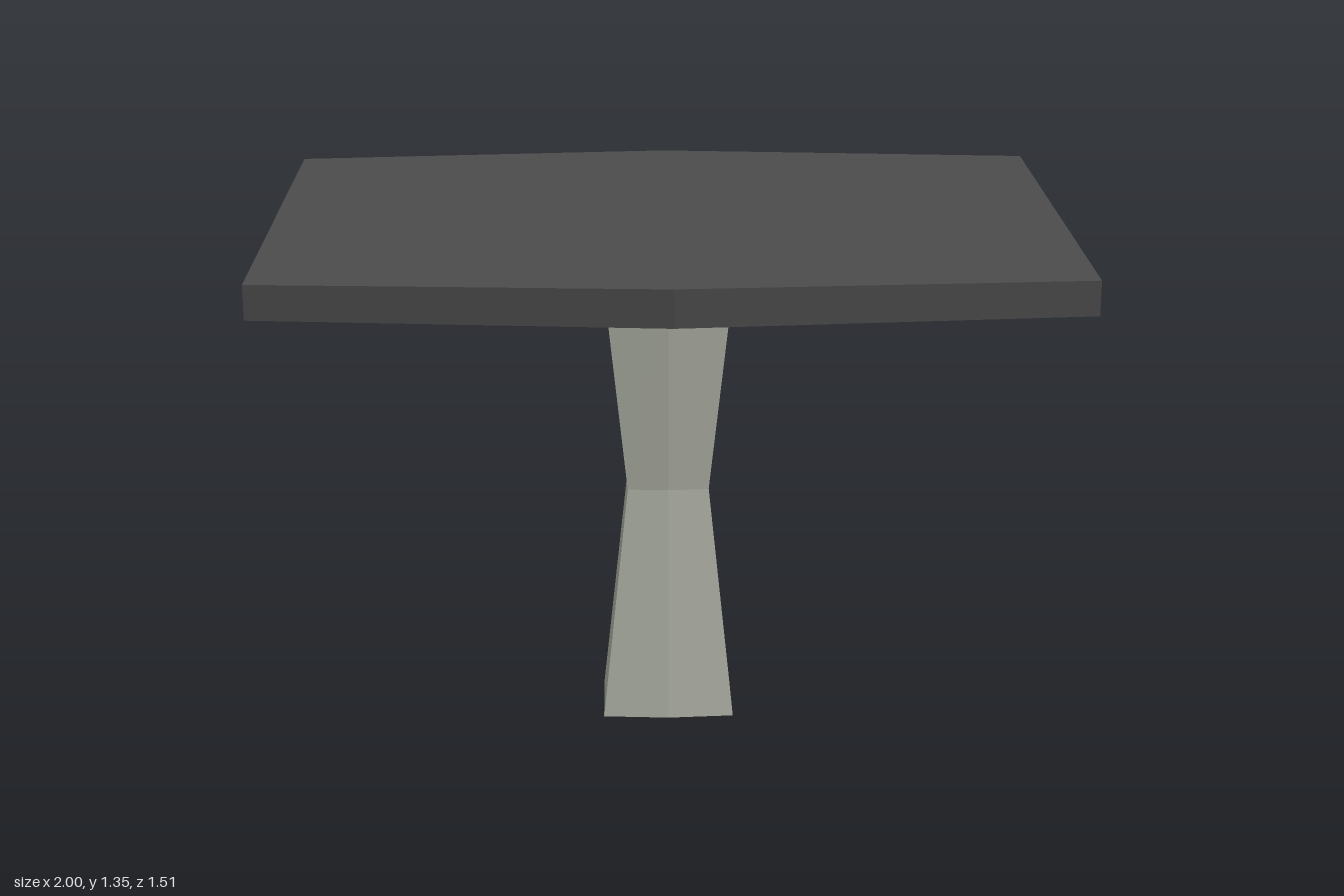
import * as THREE from 'three';

// Six-sided ring: flat ends at x = ±w, a shallow ridge at x = 0 front and back
const ring = (w, end, mid, y, yMid = y) => [
  [w, y, end], [w, y, -end], [0, yMid, -mid], [-w, y, -end], [-w, y, end], [0, yMid, mid],
];

// Flat-shaded walls between successive rings, with optional end caps
function loft(rings, capped) {
  const pos = [];
  const tri = (...pts) => pts.forEach((p) => pos.push(...p));
  for (let r = 0; r + 1 < rings.length; r++) {
    const a = rings[r], b = rings[r + 1];
    for (let i = 0; i < 6; i++) {
      const j = (i + 1) % 6;
      tri(a[i], a[j], b[j]);
      tri(a[i], b[j], b[i]);
    }
  }
  if (capped) {
    const quads = [[0, 1, 2, 5], [5, 2, 3, 4]];
    const bottom = rings[0], top = rings[rings.length - 1];
    for (const [a, b, c, d] of quads) {
      tri(top[a], top[b], top[c]);
      tri(top[a], top[c], top[d]);
      tri(bottom[a], bottom[c], bottom[b]);
      tri(bottom[a], bottom[d], bottom[c]);
    }
  }
  const geo = new THREE.BufferGeometry();
  geo.setAttribute('position', new THREE.Float32BufferAttribute(pos, 3));
  geo.computeVertexNormals();
  return geo;
}

export function createModel() {
  const group = new THREE.Group();
  const darkGrey = new THREE.MeshStandardMaterial({ color: 0x4c4c4c });
  darkGrey.name = 'darkGrey';
  const stoneGrey = new THREE.MeshStandardMaterial({ color: 0xb1b4a8, side: THREE.DoubleSide });
  stoneGrey.name = 'stoneGrey';

  // Table top: slab very slightly thicker along its centre line
  const top = new THREE.Mesh(
    loft([ring(1, 0.68, 0.755, 1.26, 1.256), ring(1, 0.68, 0.755, 1.346, 1.35)], true),
    darkGrey,
  );
  top.name = 'tableTop';

  // Pedestal: open hollow column pinched at the waist
  const pedestal = new THREE.Mesh(
    loft([
      ring(0.172, 0.118, 0.13, 0),
      ring(0.106, 0.073, 0.08, 0.626),
      ring(0.172, 0.118, 0.13, 1.252),
    ], false),
    stoneGrey,
  );
  pedestal.name = 'pedestal';

  group.add(top, pedestal);
  return group;
}
